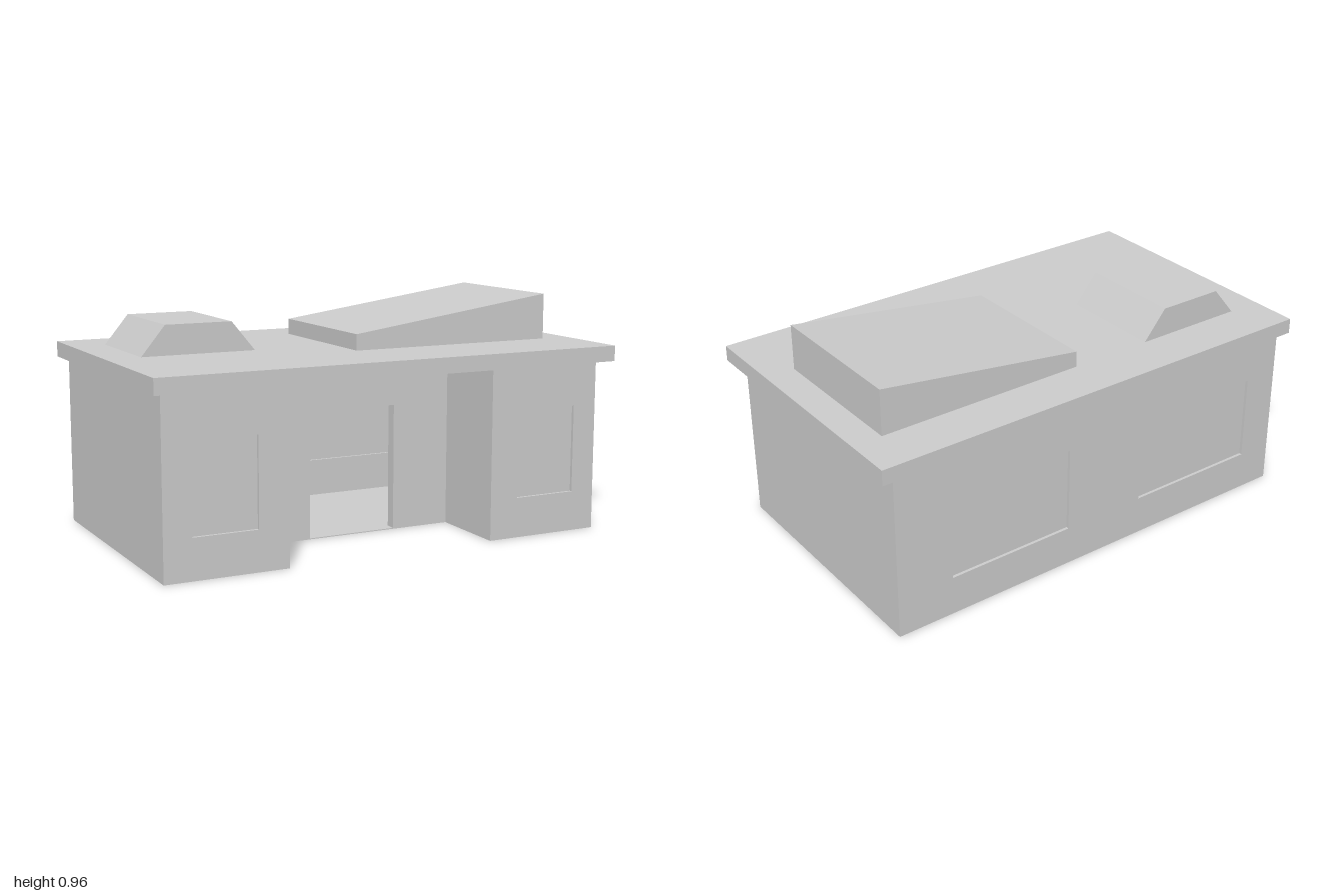
import * as THREE from 'three';

const WALL_H = 0.7;
const THICK = 0.045;
const solid = new THREE.MeshStandardMaterial({ color: 0xcccccc, flatShading: true });
const skin = new THREE.MeshStandardMaterial({ color: 0xcccccc, flatShading: true, side: THREE.DoubleSide });

// Adds a named mesh to a parent
function add(parent, name, geometry, material = solid) {
  const mesh = new THREE.Mesh(geometry, material);
  mesh.name = name;
  parent.add(mesh);
  return mesh;
}

const polygon = (points) => new THREE.Shape(points.map(([x, y]) => new THREE.Vector2(x, y)));
const rectangle = (u0, u1, v0, v1) => [[u0, v0], [u1, v0], [u1, v1], [u0, v1]];

// Side profile in x and y, extruded from z0 to z1
function prism(points, z0, z1) {
  const geometry = new THREE.ExtrudeGeometry(polygon(points), { depth: z1 - z0, bevelEnabled: false });
  return geometry.translate(0, 0, z0);
}

// Flat wall skin with rectangular openings
function panel(u0, u1, openings) {
  const shape = polygon(rectangle(u0, u1, 0, WALL_H));
  for (const { u, v } of openings) shape.holes.push(polygon(rectangle(...u, ...v)));
  return new THREE.ShapeGeometry(shape);
}

// Square open tube lining an opening through the wall
function reveal(u, v) {
  const r = Math.SQRT1_2;
  return new THREE.CylinderGeometry(r, r, 1, 4, 1, true, Math.PI / 4)
    .rotateX(Math.PI / 2)
    .scale(u[1] - u[0], v[1] - v[0], THICK)
    .translate((u[0] + u[1]) / 2, (v[0] + v[1]) / 2, -THICK / 2);
}

// Double-skinned wall; u runs along the wall, v up, local +z outwards
function buildWall(name, start, along, length, innerStart, innerEnd, openings) {
  const wall = new THREE.Group();
  wall.name = name;
  const up = new THREE.Vector3(0, 1, 0);
  const out = along.clone().cross(up);
  wall.applyMatrix4(new THREE.Matrix4().makeBasis(along, up, out).setPosition(start));
  add(wall, 'outerSkin', panel(0, length, openings), skin);
  const u0 = innerStart.clone().sub(start).dot(along);
  const u1 = innerEnd.clone().sub(start).dot(along);
  add(wall, 'innerSkin', panel(u0, u1, openings), skin).position.z = -THICK;
  for (const { u, v, pane } of openings) {
    add(wall, pane ? 'windowReveal' : 'doorReveal', reveal(u, v), skin);
    if (!pane) continue;
    const glass = add(wall, 'windowPane', new THREE.BoxGeometry(u[1] - u[0], v[1] - v[0], 0.02));
    glass.position.set((u[0] + u[1]) / 2, (v[0] + v[1]) / 2, -THICK / 2);
  }
  return wall;
}

export function createModel() {
  const model = new THREE.Group();
  model.name = 'building';

  // Wall outline in x and z, with a recessed entrance at the front
  const corners = [
    [-0.96, 0.54], [-0.455, 0.54], [-0.455, 0.19], [0.44, 0.19],
    [0.44, 0.54], [0.94, 0.54], [0.94, -0.56], [-0.96, -0.56],
  ].map(([x, z]) => new THREE.Vector3(x, 0, z));
  const names = ['frontRightWall', 'entranceRightWall', 'entranceWall', 'entranceLeftWall',
    'frontLeftWall', 'leftWall', 'backWall', 'rightWall'];
  const n = corners.length;
  const up = new THREE.Vector3(0, 1, 0);
  const along = corners.map((p, i) => corners[(i + 1) % n].clone().sub(p).normalize());
  const outward = along.map((d) => d.clone().cross(up));
  const inner = corners.map((p, i) => p.clone()
    .addScaledVector(outward[i], -THICK)
    .addScaledVector(outward[(i + n - 1) % n], -THICK));

  // Windows and doorway, measured along each wall
  const window = (u0, u1) => ({ u: [u0, u1], v: [0.165, 0.525], pane: true });
  const openings = {
    frontRightWall: [window(0.115, 0.38)],
    entranceWall: [{ u: [0.255, 0.64], v: [0.004, 0.525], pane: false }],
    frontLeftWall: [window(0.125, 0.395)],
    backWall: [window(0.245, 0.8), window(1.165, 1.75)],
  };
  const walls = new THREE.Group();
  walls.name = 'walls';
  model.add(walls);
  corners.forEach((p, i) => {
    const next = (i + 1) % n;
    walls.add(buildWall(names[i], p, along[i], p.distanceTo(corners[next]),
      inner[i], inner[next], openings[names[i]] ?? []));
  });

  // Floor inside the walls
  const floor = new THREE.ShapeGeometry(polygon(inner.map((p) => [p.x, -p.z])));
  add(model, 'floor', floor.rotateX(-Math.PI / 2), skin).position.y = 0.003;

  // Overhanging flat roof
  add(model, 'roofSlab', new THREE.BoxGeometry(2, 0.064, 1.175)).position.set(0, 0.737, -0.002);

  // Roof structures
  add(model, 'roofHatch',
    prism([[-0.855, 0.769], [-0.375, 0.769], [-0.475, 0.89], [-0.755, 0.89]], -0.39, 0.05));
  add(model, 'slopedSkylight',
    prism([[-0.02, 0.769], [0.875, 0.769], [0.875, 0.96], [-0.02, 0.835]], -0.39, 0.25));

  return model;
}
